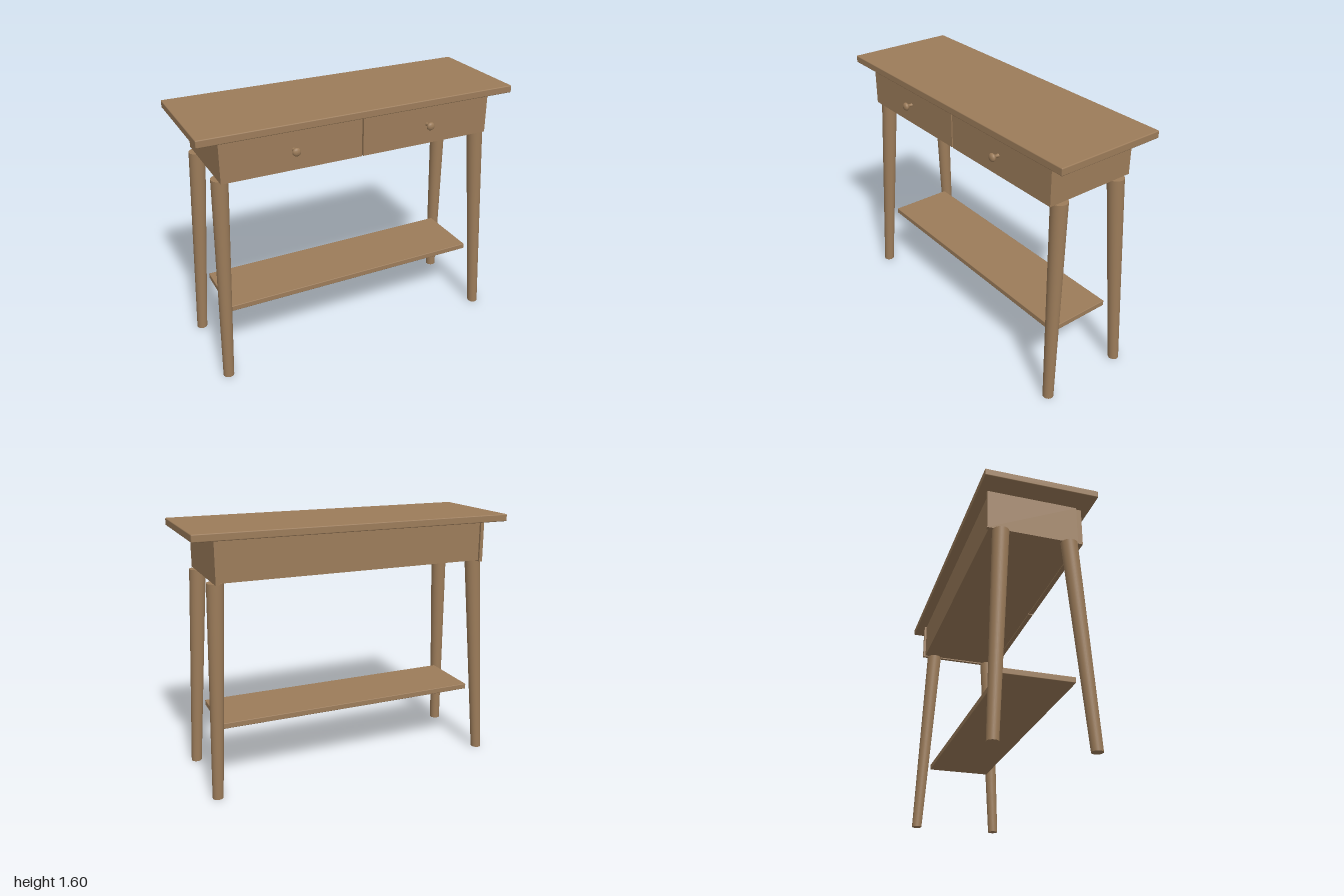
import * as THREE from 'three';
import { RoundedBoxGeometry } from 'three/addons/geometries/RoundedBoxGeometry.js';

export function createModel() {
  const table = new THREE.Group();
  table.name = 'consoleTable';
  const wood = new THREE.MeshStandardMaterial({ color: 0x9c7c5a });
  wood.name = 'brown wood';

  const add = (name, geometry) => {
    const mesh = new THREE.Mesh(geometry, wood);
    mesh.name = name;
    table.add(mesh);
    return mesh;
  };
  // Box given by its limits along each axis; bevel softens the edges
  const board = (name, [x0, x1], [y0, y1], [z0, z1], bevel = 0) => {
    const size = [x1 - x0, y1 - y0, z1 - z0];
    const geometry = bevel
      ? new RoundedBoxGeometry(...size, 2, bevel)
      : new THREE.BoxGeometry(...size);
    add(name, geometry).position.set((x0 + x1) / 2, (y0 + y1) / 2, (z0 + z1) / 2);
  };

  board('tabletop', [-1, 1], [1.555, 1.6], [-0.347, 0.347], 0.006);
  board('shelf', [-0.85, 0.85], [0.405, 0.44], [-0.21, 0.21], 0.004);

  // Apron case: the side panels stand slightly proud of the back
  board('backPanel', [-0.845, 0.845], [1.325, 1.555], [-0.28, -0.26]);
  board('bottomPanel', [-0.845, 0.845], [1.308, 1.325], [-0.28, 0.26]);
  board('frontFrame', [-0.845, 0.845], [1.325, 1.555], [0.235, 0.255]);

  // Round knob profile, turned around the z axis
  const knobProfile = [
    [0.011, 0], [0.008, 0.012], [0.01, 0.022], [0.018, 0.03],
    [0.025, 0.038], [0.025, 0.045], [0.02, 0.052], [0.011, 0.056], [0, 0.057],
  ].map(([r, h]) => new THREE.Vector2(r, h));
  const knob = new THREE.LatheGeometry(knobProfile, 24).rotateX(Math.PI / 2);

  for (const side of [-1, 1]) {
    const label = side > 0 ? 'left' : 'right';
    const span = (a, b) => [a * side, b * side].sort((p, q) => p - q);
    board(label + 'SidePanel', span(0.845, 0.867), [1.3, 1.555], [-0.295, 0.26]);
    board(label + 'DrawerFront', span(0.005, 0.867), [1.3, 1.545], [0.26, 0.29]);
    add(label + 'DrawerKnob', knob).position.set(0.435 * side, 1.425, 0.29);

    // Tapered legs, sheared outward so both ends stay level
    for (const end of [-1, 1]) {
      const leg = new THREE.CylinderGeometry(0.05, 0.033, 1.3, 32);
      leg.translate(0, 0.65, 0);
      const p = leg.attributes.position;
      for (let i = 0; i < p.count; i++) {
        const t = p.getY(i) / 1.3;
        p.setX(i, p.getX(i) + side * THREE.MathUtils.lerp(0.913, 0.85, t));
        p.setZ(i, p.getZ(i) + end * THREE.MathUtils.lerp(0.278, 0.21, t));
      }
      add(label + (end > 0 ? 'Front' : 'Back') + 'Leg', leg);
    }
  }
  return table;
}
